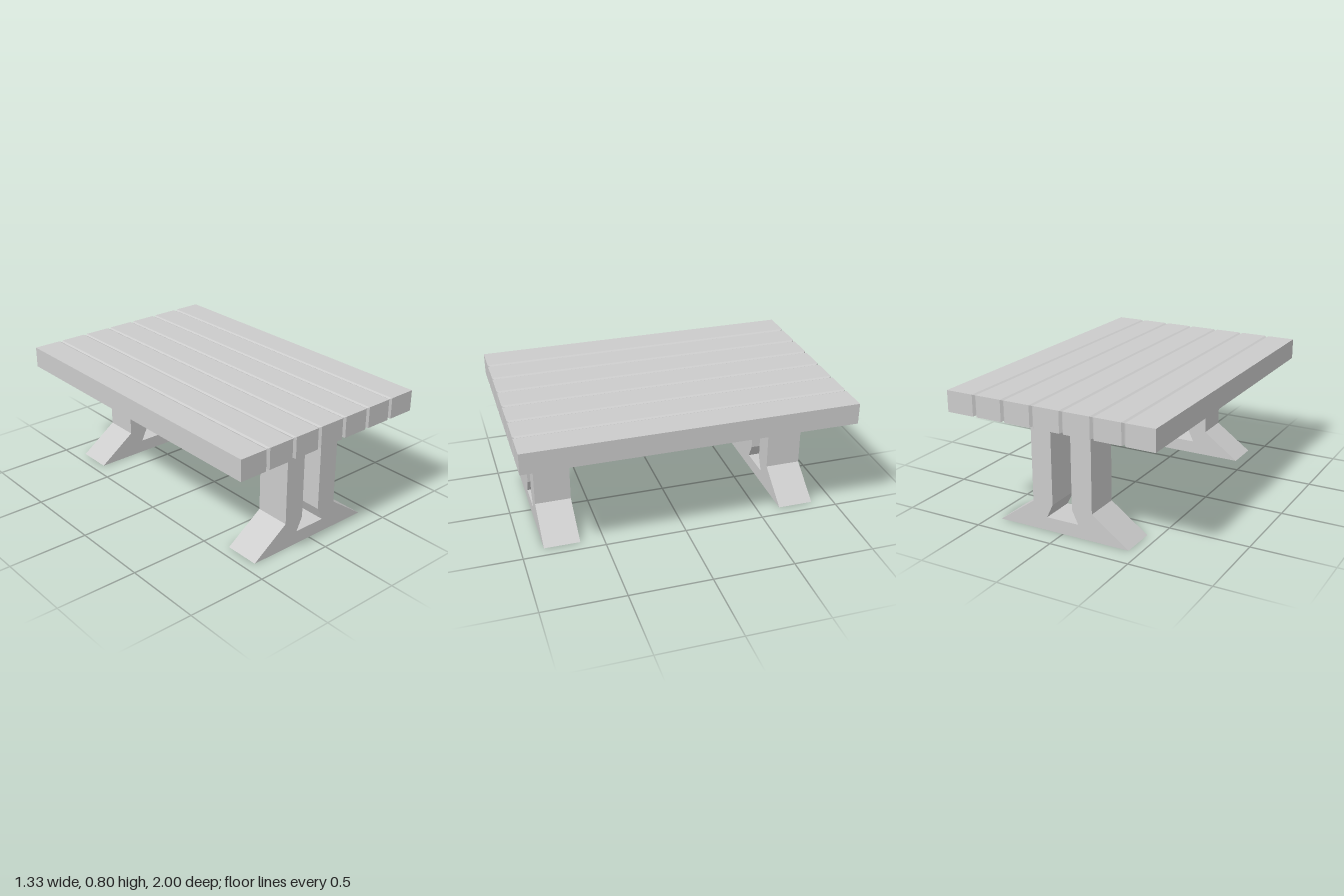
import * as THREE from 'three';
import { ConvexGeometry } from 'three/addons/geometries/ConvexGeometry.js';

const material = new THREE.MeshStandardMaterial({ color: 0xcccccc, flatShading: true });

const BOTTOM = 0.672, TOP = 0.802;
const PITCH = 0.191, EDGE = 0.665;
const BEVEL = 0.013, DROP = 0.006;

// Plank from x0 to x1: bevelled where it meets a neighbour, square on the table's outer sides
function plankGeometry(x0, x1) {
  const points = [];
  for (const [x, inward] of [[x0, 1], [x1, -1]]) {
    const outer = Math.abs(x) >= EDGE;
    for (const z of [-1, 1]) {
      for (const [y, up] of [[BOTTOM, 1], [TOP, -1]]) {
        if (outer) {
          points.push(new THREE.Vector3(x, y, z));
        } else {
          points.push(new THREE.Vector3(x + inward * BEVEL, y, z));
          points.push(new THREE.Vector3(x, y + up * DROP, z * (1 - BEVEL)));
        }
      }
    }
  }
  return new ConvexGeometry(points);
}

// Trestle: two posts on a sloped foot, cut from one outline
function trestleGeometry() {
  const half = [[0.43, 0], [0.196, 0.167], [0.196, BOTTOM], [0.065, BOTTOM], [0.065, 0.167], [0.105, 0.083]];
  const mirrored = half.map(([x, y]) => [-x, y]).reverse();
  const shape = new THREE.Shape([...half, ...mirrored].map(([x, y]) => new THREE.Vector2(x, y)));
  const depth = 0.221;
  return new THREE.ExtrudeGeometry(shape, { depth, bevelEnabled: false }).translate(0, 0, -depth / 2);
}

export function createModel() {
  const table = new THREE.Group();
  table.name = 'table';

  // Tabletop of seven planks
  const tabletop = new THREE.Group();
  tabletop.name = 'tabletop';
  for (let i = -3; i <= 3; i++) {
    const x0 = Math.max(-EDGE, (i - 0.5) * PITCH);
    const x1 = Math.min(EDGE, (i + 0.5) * PITCH);
    const plank = new THREE.Mesh(plankGeometry(x0, x1), material);
    plank.name = `plank${i + 4}`;
    tabletop.add(plank);
  }
  table.add(tabletop);

  // Front and back trestles
  const trestle = trestleGeometry();
  for (const [name, z] of [['frontTrestle', 0.754], ['backTrestle', -0.754]]) {
    const mesh = new THREE.Mesh(trestle, material);
    mesh.name = name;
    mesh.position.z = z;
    table.add(mesh);
  }
  return table;
}
